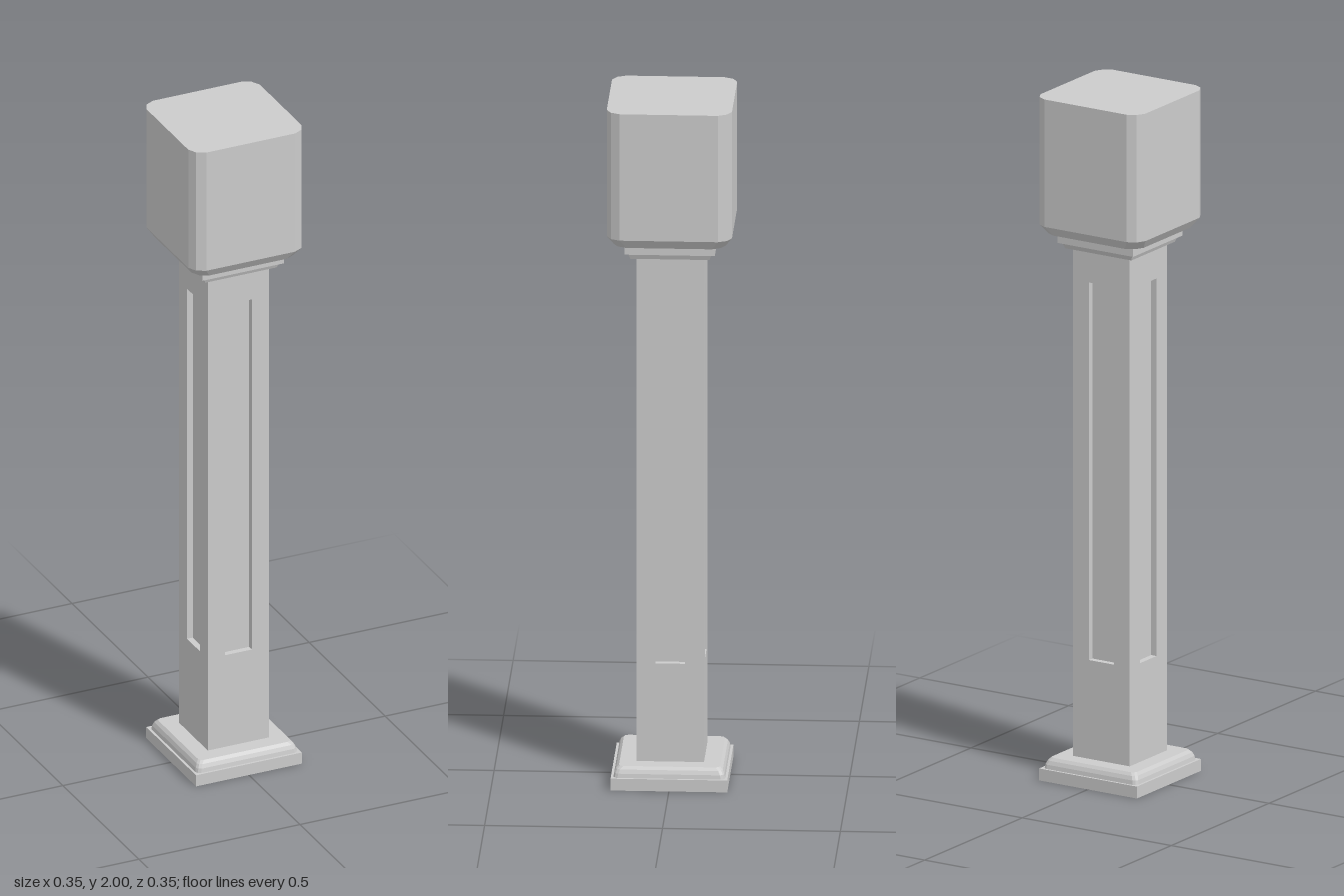
import * as THREE from 'three';

const material = new THREE.MeshStandardMaterial({ color: 0xcccccc, flatShading: true });

// Square outline with bevelled corners: half width and corner size (0 = sharp)
function outline(half, corner) {
  const points = [];
  for (let side = 0; side < 4; side++) {
    const c = Math.cos(side * Math.PI / 2), s = Math.sin(side * Math.PI / 2);
    const local = corner
      ? [[half, half - corner], [half - corner * 0.34, half - corner * 0.34], [half - corner, half]]
      : [[half, half]];
    for (const [x, z] of local) points.push([x * c - z * s, x * s + z * c]);
  }
  return points;
}

// Closed solid lofted upwards through sections of [y, half width]
function loft(name, sections, corner = 0) {
  const positions = [];
  const rings = sections.map(([y, half]) => outline(half, corner).map(([x, z]) => [x, y, z]));
  const n = rings[0].length;
  const tri = (a, b, c) => positions.push(...a, ...b, ...c);
  for (let r = 0; r < rings.length - 1; r++) {
    for (let i = 0; i < n; i++) {
      const j = (i + 1) % n, lower = rings[r], upper = rings[r + 1];
      tri(lower[i], upper[i], upper[j]);
      tri(lower[i], upper[j], lower[j]);
    }
  }
  const bottom = rings[0], top = rings[rings.length - 1];
  for (let i = 1; i < n - 1; i++) {
    tri(bottom[0], bottom[i], bottom[i + 1]);
    tri(top[0], top[i + 1], top[i]);
  }
  const geometry = new THREE.BufferGeometry();
  geometry.setAttribute('position', new THREE.Float32BufferAttribute(positions, 3));
  geometry.computeVertexNormals();
  const mesh = new THREE.Mesh(geometry, material);
  mesh.name = name;
  return mesh;
}

// Rectangle traced into a shape or path
function rectangle(path, half, y0, y1) {
  path.moveTo(-half, y0);
  path.lineTo(half, y0);
  path.lineTo(half, y1);
  path.lineTo(-half, y1);
  path.closePath();
  return path;
}

// Shaft: a core with four mitred frames that leave a sunken panel on each side
function createShaft() {
  const half = 0.095, depth = 0.018, y0 = 0.06, y1 = 1.56;
  const shaft = new THREE.Group();
  shaft.name = 'shaft';

  const inner = half - depth;
  shaft.add(loft('shaftCore', [[y0, inner], [y1, inner]]));

  const shape = rectangle(new THREE.Shape(), half, y0, y1);
  shape.holes.push(rectangle(new THREE.Path(), 0.042, 0.355, 1.46));
  const frame = new THREE.ExtrudeGeometry(shape, { depth, bevelEnabled: false });
  const p = frame.attributes.position;
  for (let i = 0; i < p.count; i++) {
    // Pull the rear outer edges in so neighbouring frames meet at a mitre
    if (Math.abs(p.getX(i)) > 0.09 && p.getZ(i) < depth / 2) {
      p.setX(i, Math.sign(p.getX(i)) * inner);
    }
  }
  frame.translate(0, 0, inner);
  frame.computeVertexNormals();

  ['front', 'left', 'back', 'right'].forEach((side, i) => {
    const mesh = new THREE.Mesh(frame, material);
    mesh.name = `${side}PanelFrame`;
    mesh.rotation.y = i * Math.PI / 2;
    shaft.add(mesh);
  });
  return shaft;
}

export function createModel() {
  const model = new THREE.Group();
  model.name = 'pillar';

  // Stepped foot: square plinth and rounded moulding
  model.add(loft('plinth', [[0, 0.164], [0.035, 0.164]]));
  model.add(loft('baseMoulding', [[0.035, 0.157], [0.047, 0.155], [0.058, 0.15], [0.066, 0.142]], 0.012));

  model.add(createShaft());

  // Collar under the head, then the large block with softened corners
  model.add(loft('collar', [[1.553, 0.111], [1.568, 0.117], [1.57, 0.127], [1.602, 0.127]]));
  model.add(loft('headBlock', [[1.6, 0.158], [1.627, 0.176], [2, 0.176]], 0.038));

  return model;
}
